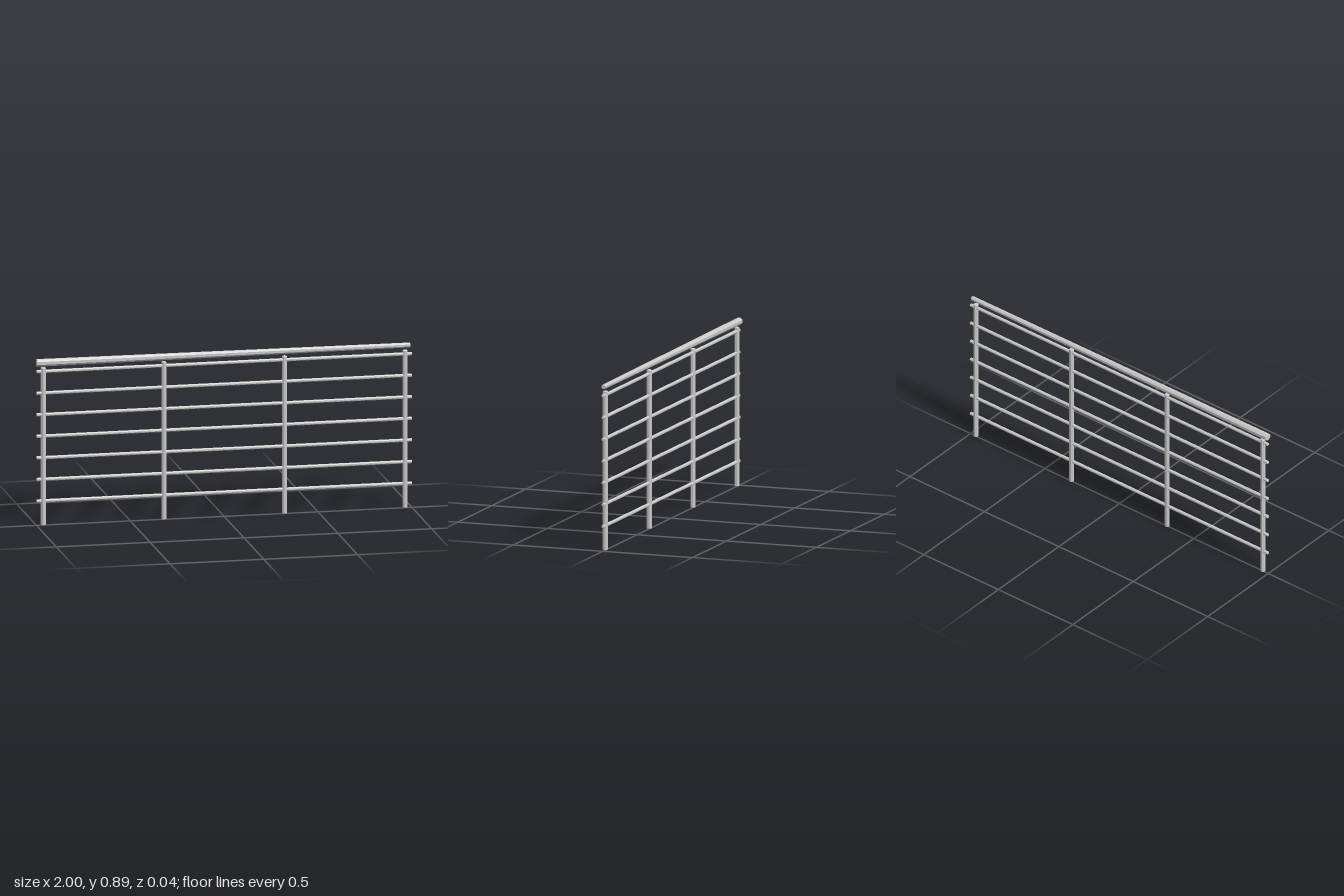
import * as THREE from 'three';

const material = new THREE.MeshStandardMaterial({ color: 0xcccccc, flatShading: true });

// Eight-sided bar along +y with chamfered ends; r0 and r1 are the distances to the flats
function octagonBar(length, r0, r1, chamfer) {
  const k = 1 / Math.cos(Math.PI / 8);
  const profile = [
    [0, 0], [r0 * k - chamfer, 0], [r0 * k, chamfer],
    [r1 * k, length - chamfer], [r1 * k - chamfer, length], [0, length],
  ].map(([r, y]) => new THREE.Vector2(r, y));
  return new THREE.LatheGeometry(profile, 8, Math.PI / 8);
}

export function createModel() {
  const group = new THREE.Group();
  group.name = 'railing';

  const add = (name, geometry, x, y) => {
    const mesh = new THREE.Mesh(geometry, material);
    mesh.name = name;
    mesh.position.set(x, y, 0);
    group.add(mesh);
  };

  // Upright posts
  const post = octagonBar(0.845, 0.0125, 0.0125, 0.003);
  for (let i = 0; i < 4; i++) add('post' + (i + 1), post, -0.964 + i * 0.6425, 0);

  // Horizontal infill bars
  const bar = octagonBar(2, 0.0085, 0.0085, 0.002).rotateZ(-Math.PI / 2);
  for (let i = 0; i < 7; i++) add('crossbar' + (i + 1), bar, -1, 0.13 + i * 0.1155);

  // Handrail, thinner towards the left end
  const rail = octagonBar(1.99, 0.0188, 0.0122, 0.002).rotateZ(-Math.PI / 2);
  add('handrail', rail, -1, 0.87);

  return group;
}
